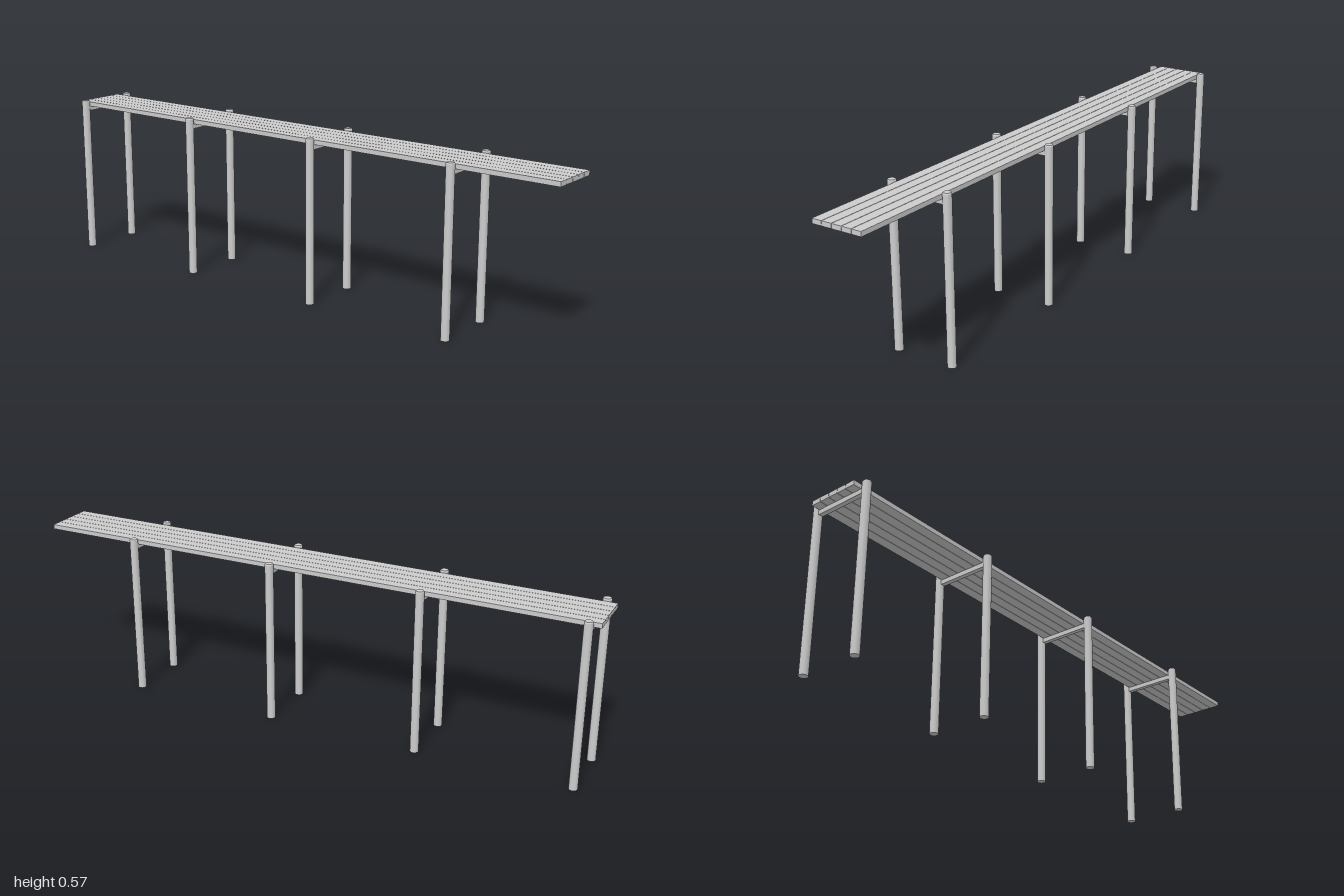
import * as THREE from 'three';
import { toCreasedNormals } from 'three/addons/utils/BufferGeometryUtils.js';

const POST_X = 0.104, POST_R = 0.0145, POST_H = 0.567;
const BEAM_Y = 0.536, PLANK_Y = 0.552, THICK = 0.016;
const PLANKS = 5, PITCH = 0.036, PLANK_W = 0.0345;
const FRAME_Z = [0.643, 0.108, -0.428, -0.963];

export function createModel() {
  const model = new THREE.Group();
  model.name = 'boardwalk';
  const material = new THREE.MeshStandardMaterial({ color: 0xcccccc });

  const add = (parent, name, geometry, x, y, z) => {
    const mesh = new THREE.Mesh(geometry, material);
    mesh.name = name;
    mesh.position.set(x, y, z);
    parent.add(mesh);
  };

  // Round post with a small chamfer around its top
  const profile = [
    [0, 0], [POST_R, 0], [POST_R, POST_H - 0.004],
    [POST_R - 0.002, POST_H], [0, POST_H],
  ].map(([r, y]) => new THREE.Vector2(r, y));
  const postGeometry = toCreasedNormals(new THREE.LatheGeometry(profile, 24), 0.4);
  const beamGeometry = new THREE.BoxGeometry(2 * POST_X - 0.014, THICK, THICK);
  const plankGeometry = new THREE.BoxGeometry(PLANK_W, THICK, 2);

  // Supporting frames: two posts joined by a cross beam
  for (const z of FRAME_Z) {
    const frame = new THREE.Group();
    frame.name = 'supportFrame';
    frame.position.z = z;
    add(frame, 'leftPost', postGeometry, POST_X, 0, 0);
    add(frame, 'rightPost', postGeometry, -POST_X, 0, 0);
    add(frame, 'crossBeam', beamGeometry, 0, BEAM_Y, 0);
    model.add(frame);
  }

  // Deck of long planks with narrow gaps
  const deck = new THREE.Group();
  deck.name = 'deck';
  for (let i = 0; i < PLANKS; i++) {
    add(deck, 'plank', plankGeometry, (i - (PLANKS - 1) / 2) * PITCH, PLANK_Y, 0);
  }
  model.add(deck);

  return model;
}
